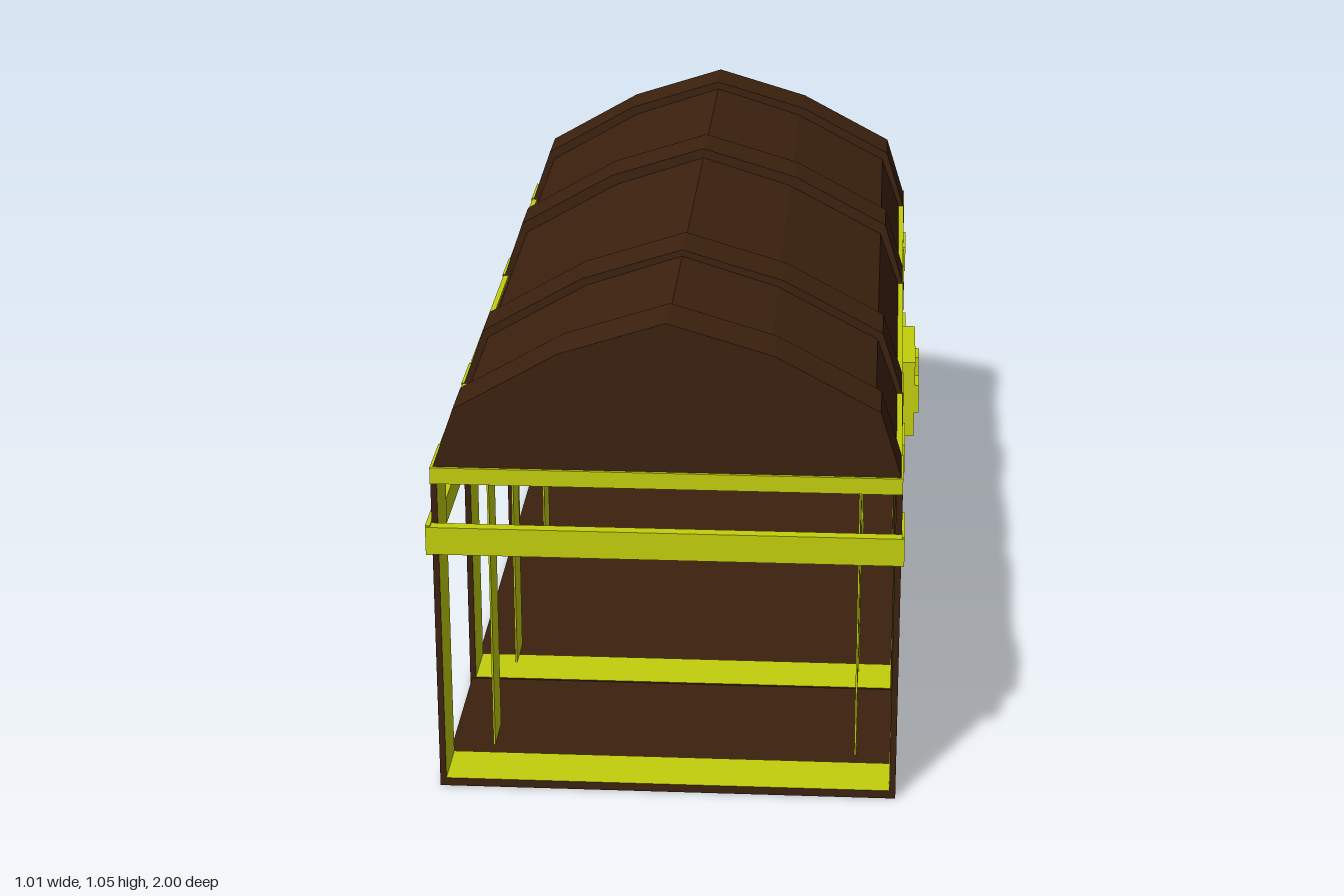
import * as THREE from 'three';

const wood = new THREE.MeshStandardMaterial({ color: 0x3c210e });
wood.name = 'dark wood';
const brass = new THREE.MeshStandardMaterial({ color: 0xc2ce0c });
brass.name = 'yellow brass';
// straps are brass with wooden-coloured cut edges facing along z
const strapMats = [brass, brass, brass, brass, wood, wood];

const L = -0.495, R = 0.467;          // outer faces of the chest sides
const MID = (L + R) / 2;

// box given by its min and max on each axis
function box(parent, name, mat, x0, x1, y0, y1, z0, z1) {
  const g = new THREE.BoxGeometry(x1 - x0, y1 - y0, z1 - z0);
  g.translate((x0 + x1) / 2, (y0 + y1) / 2, (z0 + z1) / 2);
  const m = new THREE.Mesh(g, mat);
  m.name = name;
  parent.add(m);
  return m;
}

// arched lid cross-section, pulled inwards by inset
function arch(inset, rise = 0) {
  const pts = [[L + 0.004, 0.725], [-0.445, 0.852], [-0.23, 0.975], [-0.012, 1.045],
    [0.205, 0.98], [0.42, 0.865], [R - 0.002, 0.725]];
  return new THREE.Shape(pts.map(([x, y], i) => {
    const edge = i === 0 || i === 6;
    return new THREE.Vector2(x - Math.sign(x - MID) * inset * (i === 3 ? 0 : 0.8),
      edge ? y : y - inset + rise);
  }));
}

function archMesh(parent, name, inset, rise, z0, z1) {
  const g = new THREE.ExtrudeGeometry(arch(inset, rise), { depth: z1 - z0, bevelEnabled: false });
  g.translate(0, 0, z0);
  const m = new THREE.Mesh(g, wood);
  m.name = name;
  parent.add(m);
}

export function createModel() {
  const chest = new THREE.Group();
  chest.name = 'chest';

  // floor and the two outward-facing side walls; the ends stay open
  box(chest, 'floor', wood, L + 0.004, R - 0.004, 0.006, 0.015, -0.97, 0.97);
  for (const s of [-1, 1]) {
    const wall = new THREE.Mesh(new THREE.PlaneGeometry(1.94, 0.555), wood);
    wall.name = s > 0 ? 'leftWall' : 'rightWall';
    wall.rotation.y = s * Math.PI / 2;
    wall.position.set(s > 0 ? R - 0.006 : L + 0.006, 0.2925, 0);
    chest.add(wall);
  }

  // panel behind the lock, filling the gap under the lid
  box(chest, 'lockPanel', wood, 0.455, 0.463, 0.56, 0.7, -0.25, 0.38);

  // hoops: floor strap, two uprights and a raised arch on the lid
  const hoops = [[0.85, 0.972, 0.005], [0.37, 0.492, 0.0], [-0.362, -0.24, 0.008], [-0.972, -0.85, 0.004]];
  hoops.forEach(([z0, z1, rise]) => {
    const hoop = new THREE.Group();
    hoop.name = 'hoop';
    box(hoop, 'floorStrap', strapMats, L, R, 0, 0.018, z0, z1);
    box(hoop, 'rightUpright', strapMats, L, L + 0.013, 0, 0.73, z0, z1);
    box(hoop, 'leftUpright', strapMats, R - 0.013, R, 0, 0.73, z0, z1);
    archMesh(hoop, 'lidStrap', 0, rise, z0, z1);
    chest.add(hoop);
  });

  // lid
  archMesh(chest, 'lid', 0.014, 0, -0.965, 0.965);

  // brass rim under the lid
  const rim = new THREE.Group();
  rim.name = 'lidRim';
  box(rim, 'rimRight', brass, L + 0.002, L + 0.014, 0.697, 0.728, -0.97, 0.97);
  box(rim, 'rimLeft', brass, R - 0.014, R - 0.002, 0.697, 0.728, -0.97, 0.97);
  for (const s of [-1, 1]) {
    const a = s * 0.966, b = s * 0.979;
    box(rim, 'rimEnd', brass, L, R, 0.695, 0.73, Math.min(a, b), Math.max(a, b));
  }
  chest.add(rim);

  // band around the body, with thicker wraps over the uprights
  const band = new THREE.Group();
  band.name = 'band';
  box(band, 'bandRight', brass, L - 0.003, L + 0.012, 0.55, 0.605, -0.99, 0.99);
  box(band, 'bandLeft', brass, R - 0.012, R + 0.001, 0.55, 0.605, -0.99, 0.99);
  for (const s of [-1, 1]) {
    const a = s * 0.975, b = s * 1.0;
    box(band, 'bandEnd', brass, L - 0.008, R + 0.004, 0.547, 0.607, Math.min(a, b), Math.max(a, b));
  }
  hoops.forEach(([z0, z1]) => {
    const a = z0 > 0.8 ? 0.87 : z0 - 0.004;
    const b = z0 > 0.8 ? 0.998 : z1 + 0.004;
    const lo = z0 < -0.8 ? -0.998 : a, hi = z0 < -0.8 ? -0.87 : b;
    box(band, 'wrapRight', brass, L - 0.01, L, 0.545, 0.61, lo, hi);
    box(band, 'wrapLeft', brass, R, R + 0.006, 0.545, 0.61, lo, hi);
  });
  chest.add(band);

  // thin inner posts carrying the lid
  for (const x of [-0.4, 0.38]) {
    for (const z of [0.76, 0.36, -0.23, -0.76]) {
      box(chest, 'innerPost', brass, x - 0.002, x + 0.002, 0.015, 0.725, z - 0.05, z + 0.05);
    }
  }

  // square lock frame with a dark keyhole
  const lock = new THREE.Group();
  lock.name = 'lock';
  box(lock, 'lockTop', brass, 0.462, 0.495, 0.605, 0.662, -0.123, 0.123);
  box(lock, 'lockBottom', brass, 0.462, 0.495, 0.482, 0.542, -0.123, 0.123);
  box(lock, 'lockSideFront', brass, 0.462, 0.505, 0.54, 0.607, 0.06, 0.123);
  box(lock, 'lockSideBack', brass, 0.462, 0.505, 0.54, 0.607, -0.123, -0.06);
  box(lock, 'keyhole', wood, 0.464, 0.471, 0.54, 0.607, -0.06, 0.06);
  chest.add(lock);

  return chest;
}
